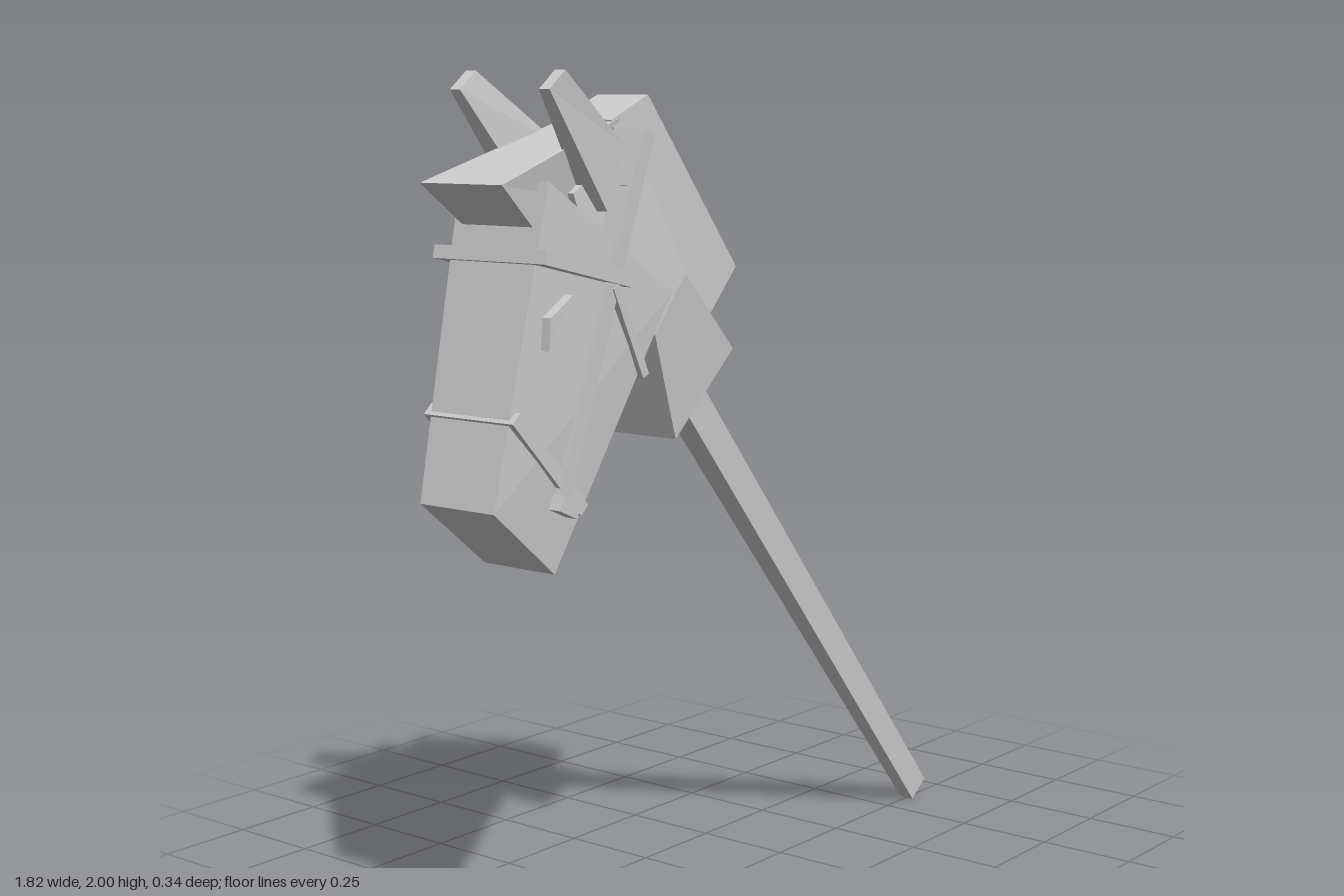
import * as THREE from 'three';

const material = new THREE.MeshStandardMaterial({ color: 0xcccccc, flatShading: true });

// Solid from a counter-clockwise xy outline; each corner is [x, y, zFront, zBack = -zFront].
function slab(name, corners) {
  const front = corners.map(([x, y, z]) => [x, y, z]);
  const back = corners.map(([x, y, z, b = -z]) => [x, y, b]);
  const tris = THREE.ShapeUtils.triangulateShape(corners.map(([x, y]) => new THREE.Vector2(x, y)), []);
  const out = [];
  for (const [a, b, c] of tris) {
    out.push(...front[a], ...front[b], ...front[c]);
    out.push(...back[c], ...back[b], ...back[a]);
  }
  corners.forEach((_, i) => {
    const j = (i + 1) % corners.length;
    out.push(...front[i], ...back[i], ...back[j], ...front[i], ...back[j], ...front[j]);
  });
  const geometry = new THREE.BufferGeometry();
  geometry.setAttribute('position', new THREE.Float32BufferAttribute(out, 3));
  geometry.computeVertexNormals();
  const mesh = new THREE.Mesh(geometry, material);
  mesh.name = name;
  return mesh;
}

// The same solid on both sides of the head.
function pair(name, corners) {
  return [
    slab(name + 'Left', corners),
    slab(name + 'Right', corners.map(([x, y, f, b]) => [x, y, -b, -f])),
  ];
}

// Outline of a straight strap from a to b, whose half depths are za and zb.
function strip([ax, ay, za], [bx, by, zb], width) {
  const len = Math.hypot(bx - ax, by - ay);
  const nx = (-(by - ay) / len) * width / 2;
  const ny = ((bx - ax) / len) * width / 2;
  return [
    [ax - nx, ay - ny, za], [bx - nx, by - ny, zb],
    [bx + nx, by + ny, zb], [ax + nx, ay + ny, za],
  ];
}

export function createModel() {
  const group = new THREE.Group();
  group.name = 'hobbyHorse';

  // Stick, tapering towards its foot
  group.add(slab('stick', [
    [0.845, 0, 0.02], [0.905, 0.045, 0.02], [-0.19, 1.36, 0.034], [-0.26, 1.31, 0.034],
  ]));

  // Neck, mane and forelock
  group.add(slab('neck', [
    [-0.31, 1.17, 0.11], [-0.09, 1.36, 0.105], [-0.29, 1.55, 0.125], [-0.45, 1.86, 0.1],
    [-0.64, 1.74, 0.1], [-0.5, 1.34, 0.12], [-0.4, 1.42, 0.125],
  ]));
  group.add(slab('mane', [
    [-0.17, 1.44, 0.095], [-0.04, 1.55, 0.075], [-0.36, 1.95, 0.075],
    [-0.49, 1.895, 0.08], [-0.47, 1.8, 0.095],
  ]));
  group.add(slab('forelock', [
    [-0.88, 1.765, 0.12], [-0.75, 1.655, 0.1], [-0.55, 1.72, 0.07],
    [-0.46, 1.9, 0.08], [-0.56, 1.87, 0.066],
  ]));

  // Head, wide at the cheeks and narrow at the muzzle
  group.add(slab('head', [
    [-0.91, 1.08, 0.11], [-0.72, 0.92, 0.105], [-0.38, 1.515, 0.158], [-0.75, 1.77, 0.13],
  ]));

  // Ears and eyes
  group.add(...pair('ear', [
    [-0.76, 1.96, 0.145, 0.115], [-0.57, 1.7, 0.135, 0.07],
    [-0.5, 1.84, 0.125, 0.065], [-0.71, 2, 0.145, 0.115],
  ]));
  group.add(...pair('eye', [
    [-0.775, 1.415, 0.148, 0.1], [-0.66, 1.47, 0.158, 0.1],
    [-0.705, 1.53, 0.155, 0.1], [-0.77, 1.485, 0.15, 0.1],
  ]));

  // Bridle: straps that run right round the head
  const cheek = strip([-0.72, 1.08, 0.135], [-0.475, 1.855, 0.172], 0.035);
  group.add(...pair('cheekStrap', cheek.map(([x, y, z]) => [x, y, z, 0.09])));
  group.add(slab('crownStrap', strip([-0.51, 1.75, 0.166], [-0.468, 1.87, 0.172], 0.035)));
  group.add(slab('browBand', strip([-0.8, 1.615, 0.164], [-0.525, 1.55, 0.168], 0.03)));
  group.add(slab('throatStrap', strip([-0.57, 1.54, 0.16], [-0.468, 1.335, 0.156], 0.022)));
  group.add(slab('noseBand', strip([-0.86, 1.28, 0.132], [-0.65, 1.055, 0.132], 0.032)));
  group.add(slab('bit', strip([-0.74, 1.085, 0.148], [-0.685, 1.06, 0.148], 0.035)));

  return group;
}
